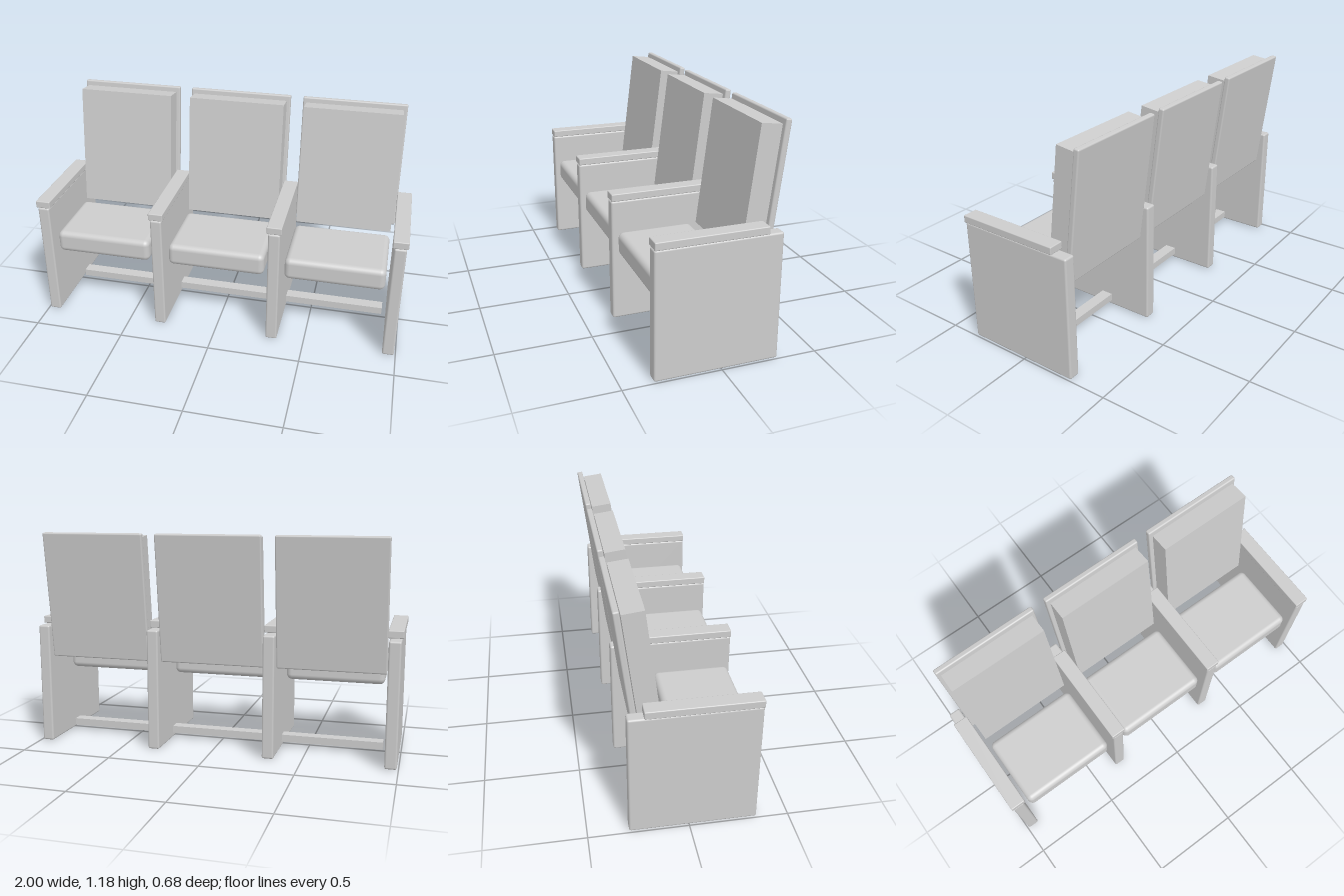
import * as THREE from 'three';
import { RoundedBoxGeometry } from 'three/addons/geometries/RoundedBoxGeometry.js';

const PITCH = 0.64; // distance between neighbouring seats
const TILT = -THREE.MathUtils.degToRad(7); // backward lean of the backs

export function createModel() {
  const model = new THREE.Group();
  model.name = 'seatRow';
  const grey = new THREE.MeshStandardMaterial({ color: 0xcccccc });
  grey.name = 'plain grey';

  // Box with optional rounded edges, placed by its centre
  function block(parent, name, [w, h, d], [x, y, z], radius = 0, segments = 2) {
    const geometry = radius
      ? new RoundedBoxGeometry(w, h, d, segments, radius)
      : new THREE.BoxGeometry(w, h, d);
    const mesh = new THREE.Mesh(geometry, grey);
    mesh.name = name;
    mesh.position.set(x, y, z);
    parent.add(mesh);
    return mesh;
  }

  // Four upright side panels, each capped by an armrest
  for (let i = 0; i < 4; i++) {
    const side = new THREE.Group();
    side.name = 'sideSupport';
    side.position.x = (i - 1.5) * PITCH;
    block(side, 'sidePanel', [0.063, 0.663, 0.638], [0, 0.3315, 0.022], 0.01);
    block(side, 'armrest', [0.08, 0.04, 0.56], [0, 0.685, 0.061], 0.005);
    model.add(side);
  }

  // Three seats: cushion, leaning back cushion and rear board
  for (let i = -1; i <= 1; i++) {
    const chair = new THREE.Group();
    chair.name = 'chair';
    chair.position.x = i * PITCH;
    block(chair, 'seatCushion', [0.53, 0.123, 0.4], [0, 0.448, 0.12], 0.03, 5);
    block(chair, 'backCushion', [0.53, 0.67, 0.107], [0, 0.8285, -0.209]).rotation.x = TILT;
    block(chair, 'backBoard', [0.57, 0.7, 0.031], [0, 0.833, -0.2835], 0.008).rotation.x = TILT;
    model.add(chair);
  }

  // Low bar tying the side panels together
  block(model, 'floorBar', [1.81, 0.04, 0.064], [0, 0.045, -0.024]);

  return model;
}
